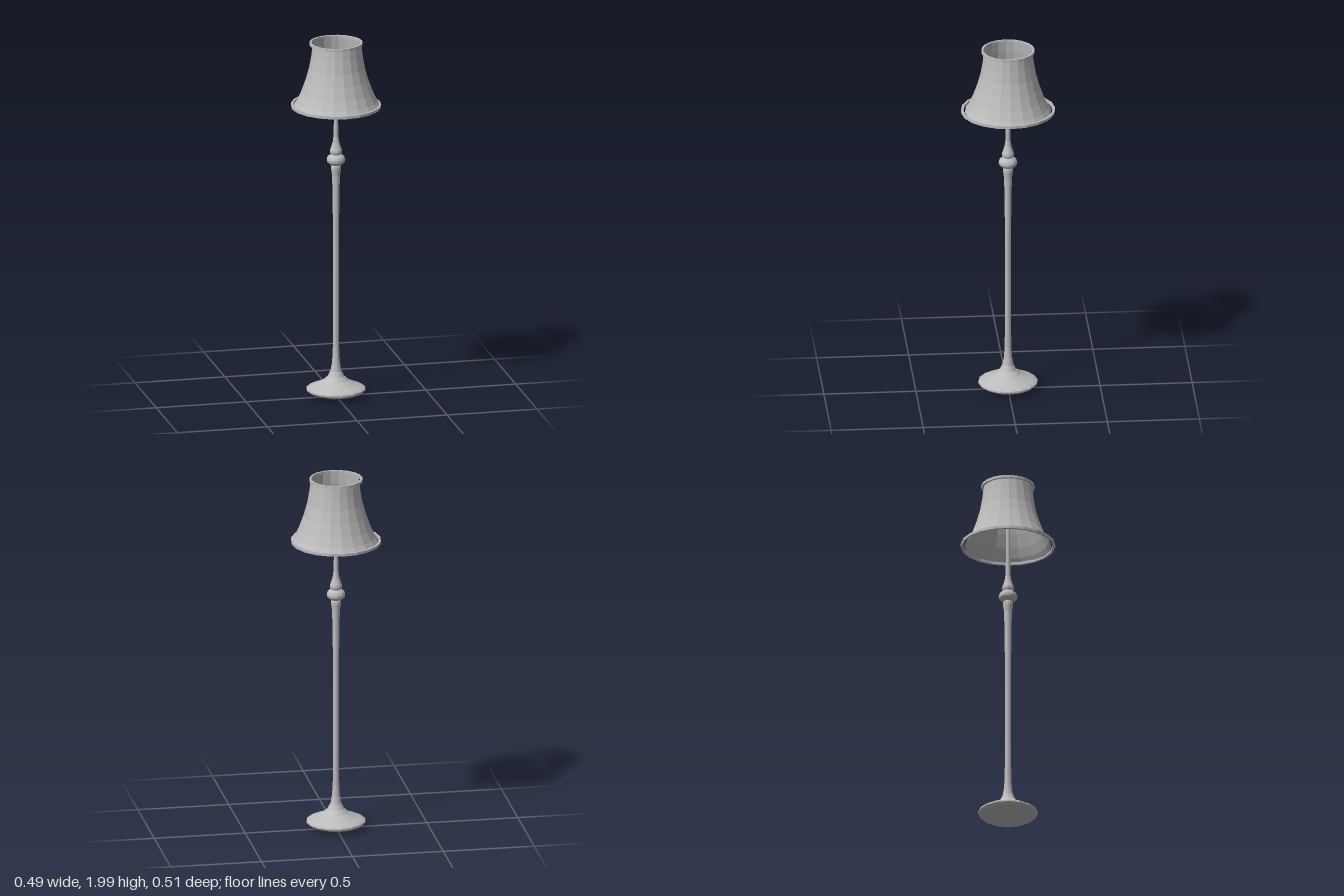
import * as THREE from 'three';

const metal = new THREE.MeshStandardMaterial({ color: 0xbcbcbc, flatShading: true, side: THREE.DoubleSide });
metal.name = 'plain grey';

// Turns a profile of [radius, height] pairs around the y axis
function turned(name, profile, sides) {
  const points = profile.map(([r, y]) => new THREE.Vector2(r, y));
  const mesh = new THREE.Mesh(new THREE.LatheGeometry(points, sides), metal);
  mesh.name = name;
  return mesh;
}

// Flat band with a rectangular section
function band(name, inner, outer, y0, y1) {
  return turned(name, [[inner, y0], [outer, y0], [outer, y1], [inner, y1], [inner, y0]], 20);
}

export function createModel() {
  const lamp = new THREE.Group();
  lamp.name = 'floorLamp';

  // Dished foot sweeping up into the pole
  lamp.add(turned('base', [
    [0, 0.006], [0.06, 0.011], [0.115, 0.02], [0.148, 0.032], [0.162, 0.044],
    [0.161, 0.053], [0.145, 0.062], [0.105, 0.077], [0.07, 0.096], [0.045, 0.12],
    [0.03, 0.15], [0.023, 0.19], [0.018, 0.25],
  ], 16));

  // Slender pole with a flared collar
  lamp.add(turned('pole', [
    [0.018, 0.25], [0.0165, 0.5], [0.0165, 0.9], [0.019, 1.15], [0.022, 1.25],
    [0.027, 1.285], [0.027, 1.3], [0.022, 1.312],
  ], 16));

  // Round knob with a smaller bulb above it
  lamp.add(turned('knob', [
    [0.022, 1.308], [0.038, 1.315], [0.049, 1.328], [0.051, 1.341], [0.046, 1.355],
    [0.034, 1.366], [0.028, 1.37], [0.033, 1.38], [0.033, 1.393], [0.026, 1.412],
    [0.019, 1.435], [0.014, 1.47],
  ], 16));

  // Thin rod rising inside the shade
  lamp.add(turned('upperRod', [[0.014, 1.47], [0.012, 1.55], [0.012, 1.82], [0, 1.825]], 16));

  // Open bell shade, sitting slightly off centre
  const shade = turned('shade', [
    [0.235, 1.644], [0.218, 1.67], [0.195, 1.72], [0.17, 1.79],
    [0.151, 1.86], [0.139, 1.93], [0.132, 1.993],
  ], 20);
  shade.position.x = 0.006;
  lamp.add(shade);

  // Rims of the shade
  const lower = band('lowerRim', 0.243, 0.256, 1.637, 1.652);
  lower.scale.x = 0.955;
  lamp.add(lower, band('upperRim', 0.134, 0.145, 1.985, 2));

  return lamp;
}
